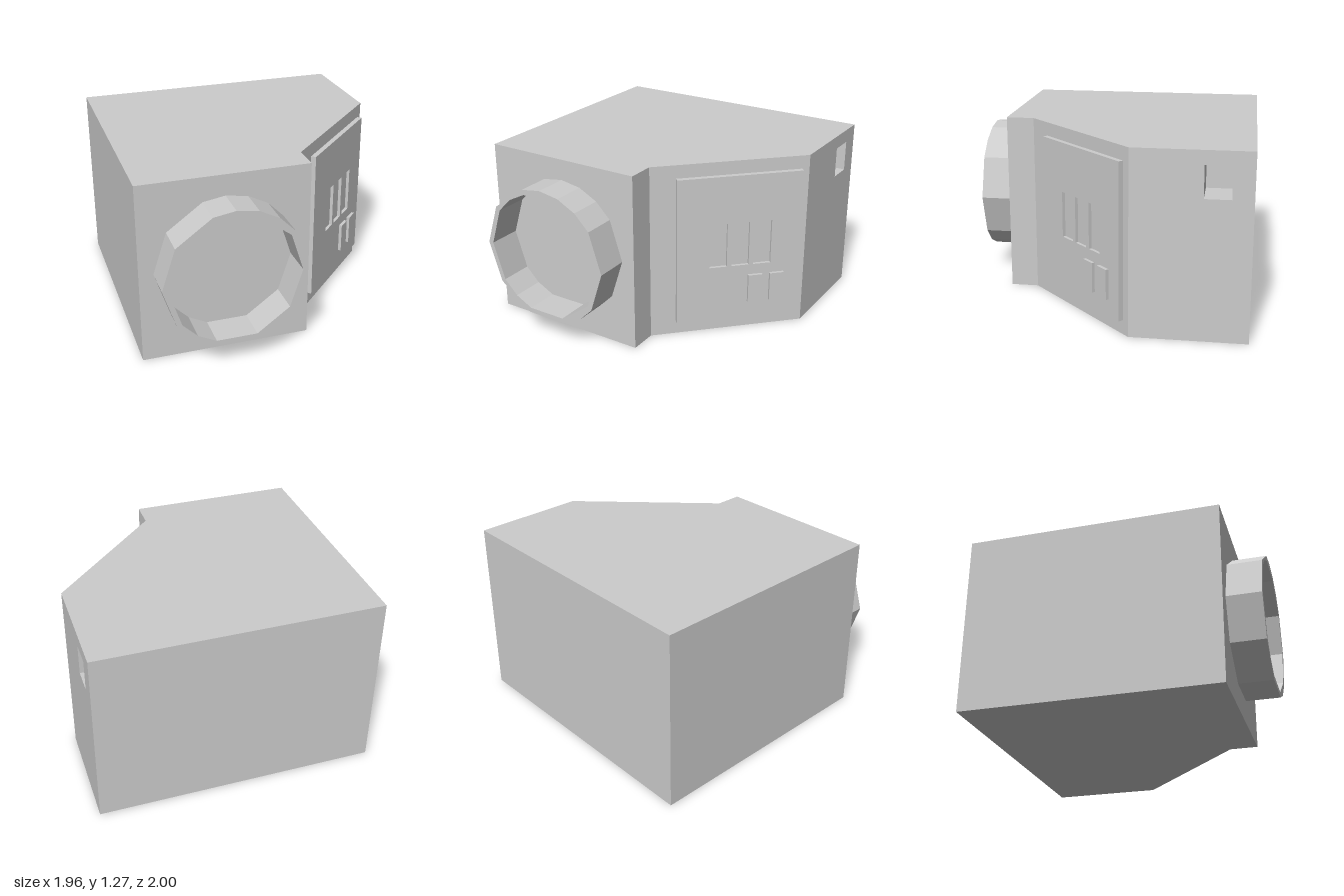
import * as THREE from 'three';
import { mergeGeometries } from 'three/addons/utils/BufferGeometryUtils.js';

const mat = new THREE.MeshStandardMaterial({ color: 0xcccccc, flatShading: true });
const HEIGHT = 1.275;

function addMesh(parent, name, geometry) {
  const mesh = new THREE.Mesh(geometry, mat);
  mesh.name = name;
  parent.add(mesh);
  return mesh;
}

function rect(Type, x0, y0, x1, y1) {
  return new Type([[x0, y0], [x1, y0], [x1, y1], [x0, y1]].map(([x, y]) => new THREE.Vector2(x, y)));
}

// Upright wall from plan point p to q, facing the left-to-right viewer
function wall(p, q, y0, y1, hole) {
  const dx = q[0] - p[0], dz = q[1] - p[1];
  const shape = rect(THREE.Shape, 0, y0, Math.hypot(dx, dz), y1);
  if (hole) shape.holes.push(hole);
  return new THREE.ShapeGeometry(shape).rotateY(Math.atan2(-dz, dx)).translate(p[0], 0, p[1]);
}

// Level sheet over a plan outline, facing up or down
function sheet(plan, y, up) {
  const points = plan.map(([x, z]) => new THREE.Vector2(x, up ? -z : z));
  return new THREE.ShapeGeometry(new THREE.Shape(points))
    .rotateX(up ? -Math.PI / 2 : Math.PI / 2).translate(0, y, 0);
}

// Polygon on a 20-step circle that skips some of the steps
function steppedCircle(Type, radius, steps) {
  return new Type(steps.map((s) => {
    const a = s * Math.PI / 10;
    return new THREE.Vector2(radius * Math.cos(a), radius * Math.sin(a));
  }));
}

export function createModel() {
  const model = new THREE.Group();
  model.name = 'cameraBox';

  // Body with a cut corner and a square opening in the side wall
  const plan = [[-0.98, 0.765], [0.19, 0.765], [0.19, 0.57], [0.98, -0.215], [0.98, -1], [-0.98, -1]];
  const y0 = 0.963, y1 = 1.18, zNear = -0.685, zFar = -0.86, xIn = 0.72;
  const body = plan.map((p, i) => {
    const hole = i === 3 ? rect(THREE.Path, p[1] - zNear, y0, p[1] - zFar, y1) : null;
    return wall(p, plan[(i + 1) % plan.length], 0, HEIGHT, hole);
  });
  body.push(sheet(plan, HEIGHT, true), sheet(plan, 0, false));
  addMesh(model, 'body', mergeGeometries(body));

  // Lining of the side opening
  const recess = [[0.98, zNear], [xIn, zNear], [xIn, zFar], [0.98, zFar]];
  const lining = [0, 1, 2].map((i) => wall(recess[i], recess[i + 1], y0, y1));
  lining.push(sheet(recess, y0, true), sheet(recess, y1, false));
  addMesh(model, 'sideOpening', mergeGeometries(lining));

  // Faceted lens ring
  const ring = steppedCircle(THREE.Shape, 0.488, [0, 2, 3, 4, 5, 6, 8, 10, 12, 14, 16, 17, 18]);
  ring.holes.push(steppedCircle(THREE.Path, 0.451, [0, 2, 4, 6, 7, 8, 10, 12, 13, 14, 16, 18]));
  addMesh(model, 'lensRing', new THREE.ExtrudeGeometry(ring, { depth: 0.235, bevelEnabled: false }))
    .position.set(-0.393, 0.64, 0.765);

  // Control panel on the cut corner: local x runs along it, z points outwards
  const controls = new THREE.Group();
  controls.name = 'controls';
  controls.position.set(0.19, 0, 0.57);
  controls.rotation.y = Math.atan2(0.785, 0.79);
  model.add(controls);

  const thick = 0.036, depth = 0.022;
  const panel = rect(THREE.Shape, 0.18, 0.1, 1.06, 1.18);
  const slots = [0.41, 0.568, 0.727];
  for (const x of slots) panel.holes.push(rect(THREE.Path, x, 0.508, x + 0.125, 0.832));
  addMesh(controls, 'panel', new THREE.ExtrudeGeometry(panel, { depth: thick, bevelEnabled: false }));

  // Floors of the sunken slots
  for (const x of slots) {
    addMesh(controls, 'slotFloor', new THREE.PlaneGeometry(0.125, 0.324))
      .position.set(x + 0.0625, 0.67, thick - depth);
  }

  // Raised buttons
  for (const x of [0.69, 0.847]) {
    addMesh(controls, 'button', new THREE.BoxGeometry(0.102, 0.212, depth))
      .position.set(x + 0.051, 0.325, thick + depth / 2);
  }
  return model;
}
